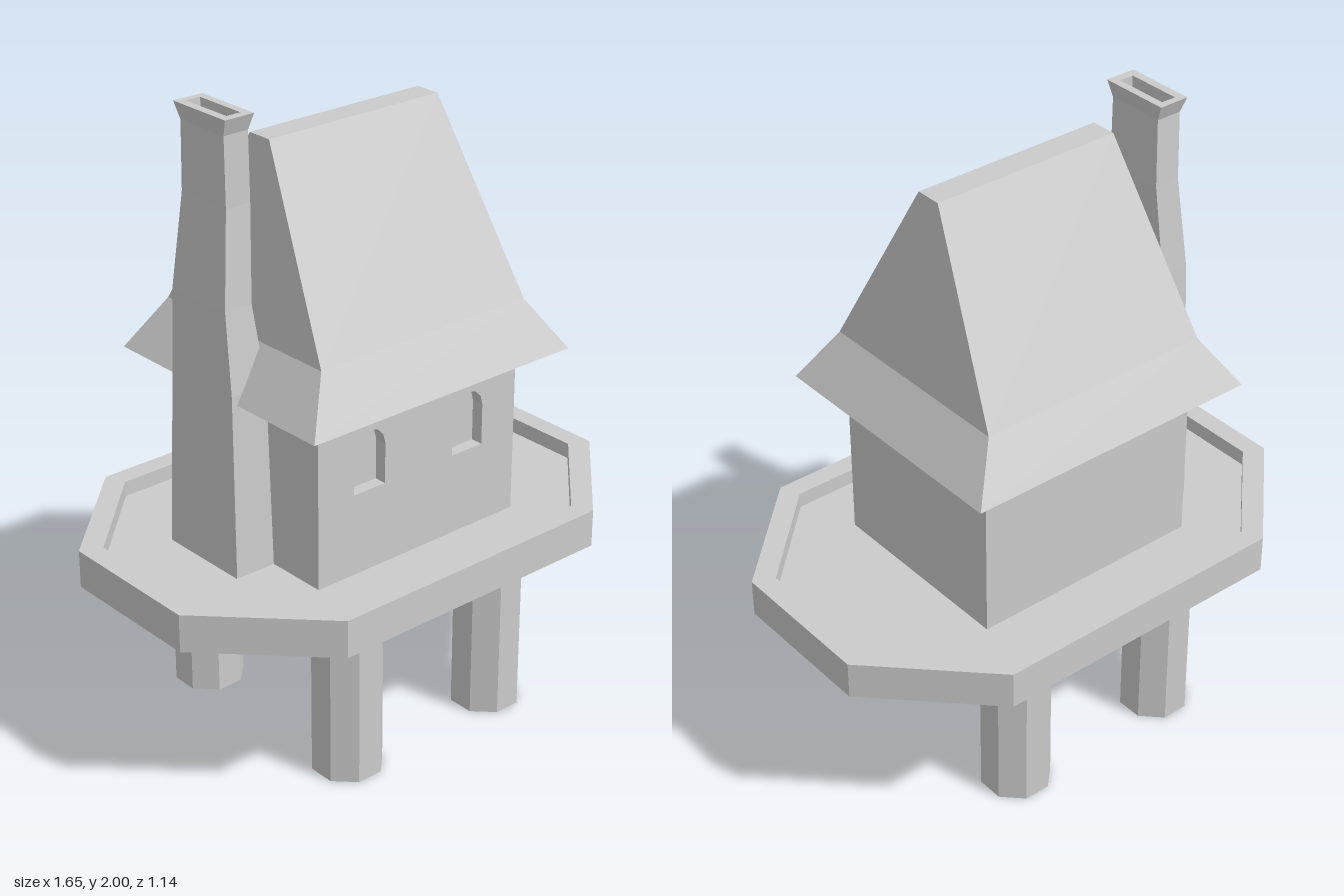
import * as THREE from 'three';

const mat = new THREE.MeshStandardMaterial({ color: 0xcccccc, flatShading: true });
const openMat = new THREE.MeshStandardMaterial({ color: 0xcccccc, flatShading: true, side: THREE.DoubleSide });

function add(parent, name, geometry, material = mat) {
  const mesh = new THREE.Mesh(geometry, material);
  mesh.name = name;
  parent.add(mesh);
  return mesh;
}

// Joins rectangular sections [y, x0, x1, z0, z1] and caps both ends
function loft(sections) {
  const pos = [], idx = [];
  for (const [y, x0, x1, z0, z1] of sections) {
    pos.push(x0, y, z1, x1, y, z1, x1, y, z0, x0, y, z0);
  }
  const last = (sections.length - 1) * 4;
  for (let s = 0; s < last; s += 4) {
    for (let i = 0; i < 4; i++) {
      const a = s + i, b = s + (i + 1) % 4;
      idx.push(a, b, b + 4, a, b + 4, a + 4);
    }
  }
  idx.push(0, 2, 1, 0, 3, 2, last, last + 1, last + 2, last, last + 2, last + 3);
  const g = new THREE.BufferGeometry();
  g.setAttribute('position', new THREE.Float32BufferAttribute(pos, 3));
  g.setIndex(idx);
  const flat = g.toNonIndexed();
  flat.computeVertexNormals();
  return flat;
}

// Rectangle with cut corners: half sizes w, d and the ends of its straight sides
function octagon(w, d, sx, sz) {
  return [[sx, d], [-sx, d], [-w, sz], [-w, -sz], [-sx, -d], [sx, -d], [w, -sz], [w, sz]]
    .map(([x, y]) => new THREE.Vector2(x, y));
}

function slab(shape, y, height) {
  const g = new THREE.ExtrudeGeometry(shape, { depth: height, bevelEnabled: false });
  return g.rotateX(-Math.PI / 2).translate(0, y, 0);
}

export function createModel() {
  const model = new THREE.Group();
  model.name = 'stiltHouse';

  // Platform: floor with a raised rim
  const platform = new THREE.Group();
  platform.name = 'platform';
  model.add(platform);
  const outer = octagon(0.823, 0.572, 0.49, 0.24);
  add(platform, 'platformFloor', slab(new THREE.Shape(outer), 0.56, 0.07));
  const rim = new THREE.Shape(outer);
  rim.holes.push(new THREE.Path(octagon(0.757, 0.506, 0.463, 0.21)));
  add(platform, 'platformRim', slab(rim, 0.63, 0.05));

  // Four hollow octagonal stilts
  for (const x of [-0.286, 0.286]) {
    for (const z of [-0.335, 0.335]) {
      const r = 0.103 / Math.cos(Math.PI / 8);
      const g = new THREE.CylinderGeometry(r, r, 0.56, 8, 1, true).rotateY(Math.PI / 8);
      add(model, 'stilt', g, openMat).position.set(x, 0.28, z);
    }
  }

  // Walls: solid body plus a front panel with arched window recesses
  const house = new THREE.Group();
  house.name = 'house';
  model.add(house);
  const recess = 0.04;
  add(house, 'walls', loft([
    [0.63, -0.386, 0.386, -0.325, 0.325 - recess],
    [1.18, -0.386, 0.386, -0.325, 0.325 - recess],
  ]));
  const front = new THREE.Shape([[-0.386, 0.63], [0.386, 0.63], [0.386, 1.18], [-0.386, 1.18]]
    .map(([x, y]) => new THREE.Vector2(x, y)));
  for (const x of [-0.193, 0.193]) {
    const arch = [new THREE.Vector2(x - 0.06, 0.89), new THREE.Vector2(x + 0.06, 0.89)];
    for (let i = 0; i <= 6; i++) {
      const a = (i / 6) * Math.PI;
      arch.push(new THREE.Vector2(x + 0.06 * Math.cos(a), 1.02 + 0.06 * Math.sin(a)));
    }
    front.holes.push(new THREE.Path(arch));
  }
  add(house, 'frontWall', new THREE.ExtrudeGeometry(front, { depth: recess, bevelEnabled: false })
    .translate(0, 0, 0.325 - recess));

  // Steep roof with flared eaves
  add(house, 'roof', loft([[1.17, 0.493, 0.437], [1.33, 0.39, 0.346], [1.9, 0.315, 0.042]]
    .map(([y, w, d]) => [y, -w, w, -d, d])));

  // Crooked chimney, flared at the lip and hollow at the top
  add(house, 'chimney', loft([
    [0.63, -0.523, -0.385, -0.19, 0.122],
    [1.2, -0.51, -0.385, -0.175, 0.1],
    [1.45, -0.507, -0.413, -0.165, 0.075],
    [1.74, -0.48, -0.395, -0.142, 0.055],
    [1.95, -0.482, -0.398, -0.135, 0.055],
    [2.0, -0.49, -0.39, -0.155, 0.073],
    [2.0, -0.463, -0.415, -0.132, 0.045],
    [1.88, -0.463, -0.415, -0.125, 0.045],
  ]));

  return model;
}
